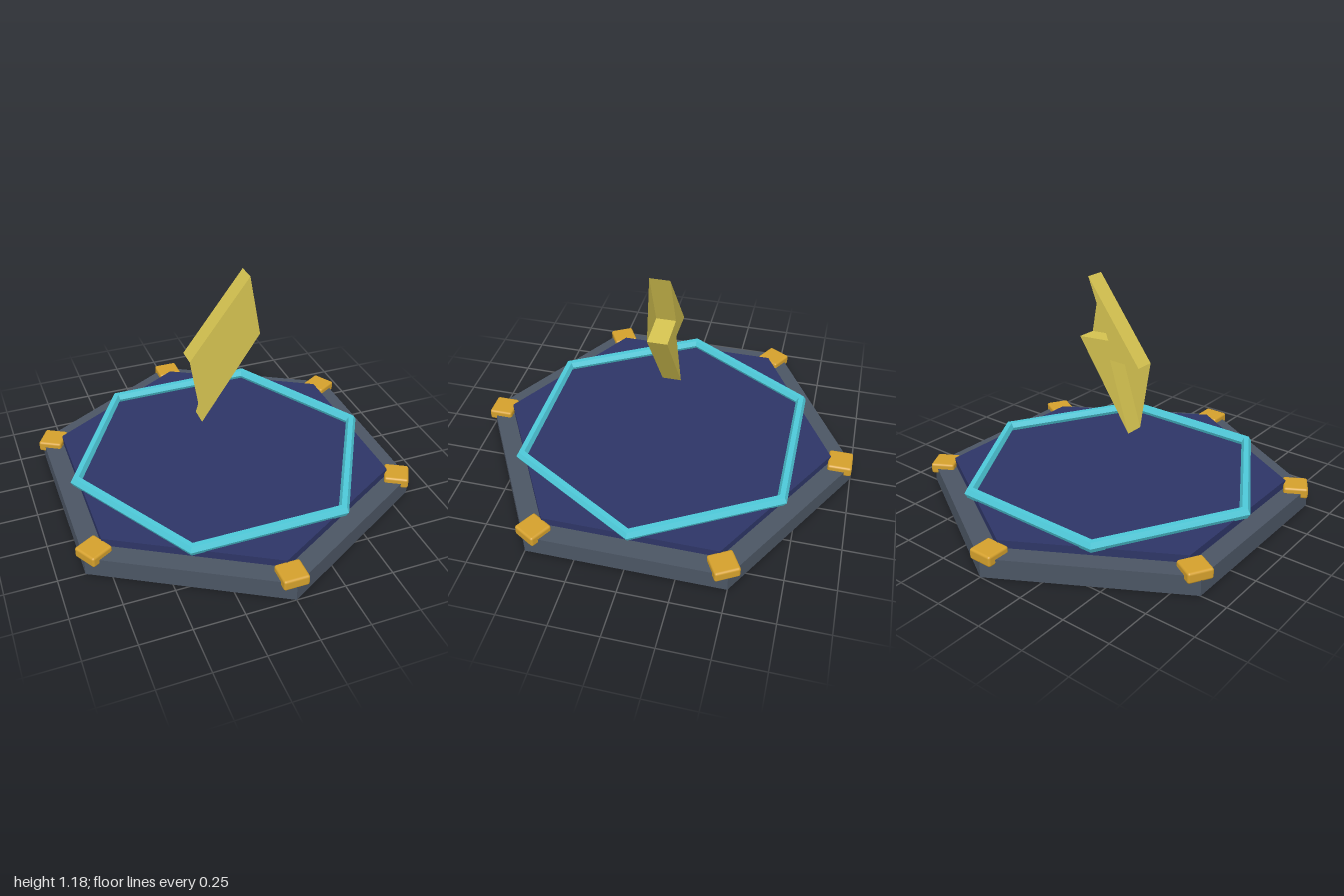
import * as THREE from 'three';
import { RoundedBoxGeometry } from 'three/addons/geometries/RoundedBoxGeometry.js';

function material(name, color) {
  const m = new THREE.MeshStandardMaterial({ color });
  m.name = name;
  return m;
}

export function createModel() {
  const slate = material('slate', 0x4b5563);
  const navy = material('navy', 0x2d3566);
  const teal = material('teal', 0x4dc8d8);
  const gold = material('gold', 0xd4a02c);
  const yellow = material('paleYellow', 0xd4c250);
  slate.flatShading = navy.flatShading = teal.flatShading = yellow.flatShading = true;
  yellow.side = THREE.DoubleSide;

  const model = new THREE.Group();
  const add = (name, geometry, mat, parent = model) => {
    const mesh = new THREE.Mesh(geometry, mat);
    mesh.name = name;
    parent.add(mesh);
    return mesh;
  };

  // Stacked hexagonal plates
  add('base', new THREE.CylinderGeometry(1, 1, 0.1, 6), slate).position.y = 0.05;
  add('topPlate', new THREE.CylinderGeometry(0.885, 0.885, 0.04, 6), navy).position.y = 0.12;

  // Hexagonal ring, turned against the plates
  const ring = add('ring', new THREE.TorusGeometry(0.785, 0.03, 6, 6), teal);
  ring.rotation.x = -Math.PI / 2;
  ring.position.y = 0.16;

  // Corner clamps
  const clamps = new THREE.Group();
  clamps.name = 'cornerClamps';
  model.add(clamps);
  const clampGeometry = new RoundedBoxGeometry(0.13, 0.056, 0.125, 2, 0.012);
  for (let i = 0; i < 6; i++) {
    const a = (i * Math.PI) / 3;
    const clamp = add('clamp', clampGeometry, gold, clamps);
    clamp.position.set(Math.sin(a) * 0.9375, 0.101, Math.cos(a) * 0.9375);
    clamp.rotation.y = a;
  }

  // Floating bolt: notched body closed in front by a full four-sided face
  const top = [0.135, 1.18], left = [-0.178, 0.768], bottom = [-0.118, 0.4], right = [0.193, 0.858];
  const shape = (points) => new THREE.Shape(points.map((p) => new THREE.Vector2(...p)));
  const bolt = new THREE.Group();
  bolt.name = 'bolt';
  model.add(bolt);
  const body = shape([top, left, [0, 0.772], bottom, right, [0.01, 0.872]]);
  add('boltBody', new THREE.ExtrudeGeometry(body, { depth: 0.1, bevelEnabled: false }), yellow, bolt).position.z = -0.05;
  add('boltFace', new THREE.ShapeGeometry(shape([top, left, bottom, right])), yellow, bolt).position.z = 0.05;

  return model;
}
